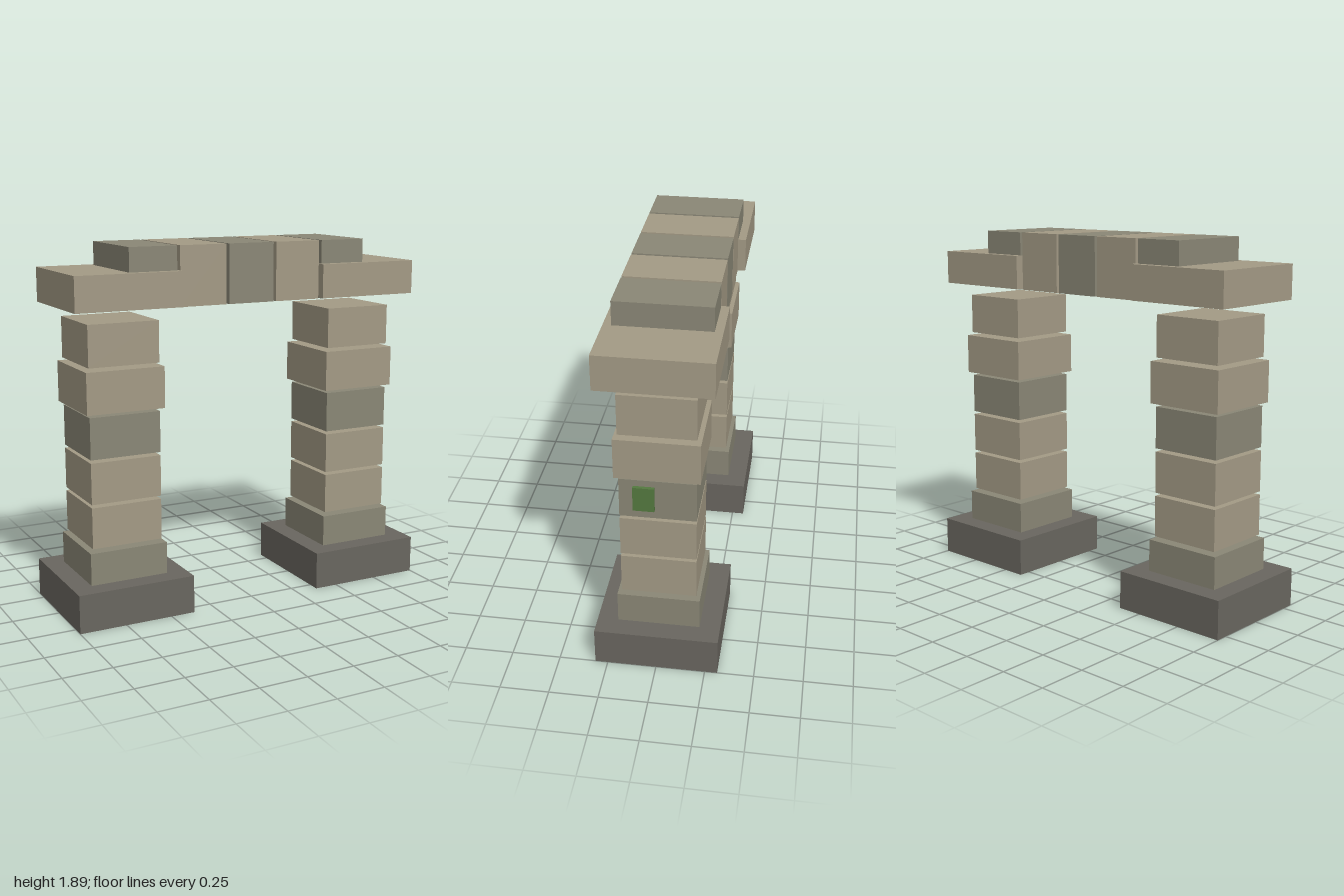
import * as THREE from 'three';

const mat = (color) => new THREE.MeshStandardMaterial({ color, flatShading: true });

export function createModel() {
  const model = new THREE.Group();
  model.name = 'stoneArch';

  const paleStone = mat(0xa39a85);
  const greyStone = mat(0x8a8776);
  const baseStone = mat(0x69665f);
  const moss = mat(0x54793f);

  // Box given by its size and centre
  function block(parent, name, material, [w, h, d], [x, y, z]) {
    const mesh = new THREE.Mesh(new THREE.BoxGeometry(w, h, d), material);
    mesh.name = name;
    mesh.position.set(x, y, z);
    parent.add(mesh);
  }

  // Two pillars: plinth, six spaced courses, capital and a moss patch
  for (const side of [-1, 1]) {
    const pillar = new THREE.Group();
    pillar.name = side > 0 ? 'leftPillar' : 'rightPillar';
    pillar.position.x = side * 0.686;
    model.add(pillar);

    block(pillar, 'plinth', baseStone, [0.628, 0.2, 0.628], [0, 0.1, 0]);

    for (let i = 0; i < 6; i++) {
      const width = i % 4 === 0 ? 0.418 : 0.378;
      const material = i % 3 === 0 ? greyStone : paleStone;
      block(pillar, 'course' + (i + 1), material, [width, 0.214, width], [0, 0.261 + i * 0.231, 0]);
    }

    block(pillar, 'capital', paleStone, [0.566, 0.178, 0.56], [0, 1.681, 0]);

    // The moss grows on the same +x face of both pillars
    block(pillar, 'mossPatch', moss, [0.03, 0.132, 0.105], [0.192, 0.961, 0.067]);
  }

  // Lintel of five separate stones resting across the capitals
  const lintel = new THREE.Group();
  lintel.name = 'lintel';
  model.add(lintel);
  for (let i = -2; i <= 2; i++) {
    const material = i % 2 === 0 ? greyStone : paleStone;
    block(lintel, 'lintelStone' + (i + 3), material, [0.256, 0.305, 0.478], [i * 0.272, 1.74, 0]);
  }

  return model;
}
